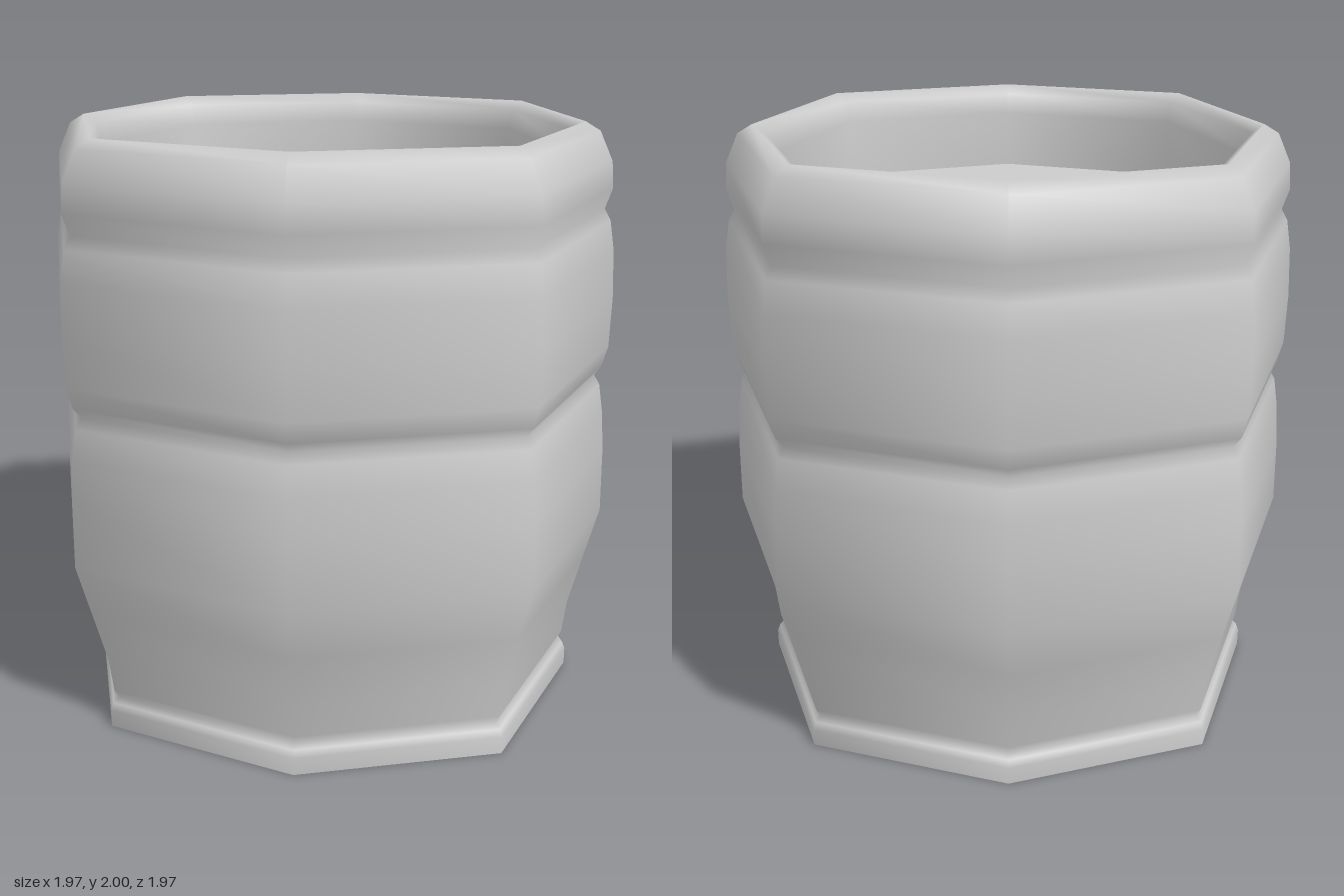
import * as THREE from 'three';

const SIDES = 8;
const CORNER = 1.062; // diagonal corners sit slightly further out

// Eight-sided turned surface with smooth normals
function turned(name, profile) {
  const points = profile.map(([r, y]) => new THREE.Vector2(r, y));
  const geometry = new THREE.LatheGeometry(points, SIDES);
  const pos = geometry.attributes.position;
  for (let i = 0; i < pos.count; i++) {
    const side = Math.floor(i / points.length);
    if (side % 2 === 1) pos.setXYZ(i, pos.getX(i) * CORNER, pos.getY(i), pos.getZ(i) * CORNER);
  }
  const material = new THREE.MeshStandardMaterial({ color: 0xcccccc, side: THREE.DoubleSide });
  const mesh = new THREE.Mesh(geometry, material);
  mesh.name = name;
  return mesh;
}

export function createModel() {
  const group = new THREE.Group();
  group.name = 'barrel';

  // Outer wall from the open foot, over the grooves and rim, down to the recessed top
  group.add(turned('barrelWall', [
    [0.885, 0], [0.885, 0.06], [0.875, 0.085], [0.855, 0.1],   // foot lip
    [0.87, 0.13], [0.885, 0.25], [0.935, 0.44], [0.983, 0.62], // lower body
    [0.98, 0.85], [0.97, 0.99], [0.955, 1.09], [0.935, 1.125], // lower groove
    [0.96, 1.16], [0.978, 1.23], [0.983, 1.4], [0.976, 1.57],
    [0.96, 1.67], [0.938, 1.71],                               // upper groove
    [0.962, 1.78], [0.955, 1.87], [0.91, 1.97], [0.86, 2],     // rim
    [0.82, 1.97], [0.80, 1.9], [0.795, 1.7],                   // inner wall
  ]));

  // Flat recessed top
  group.add(turned('recessedTop', [[0.795, 1.7], [0, 1.7]]));

  return group;
}
